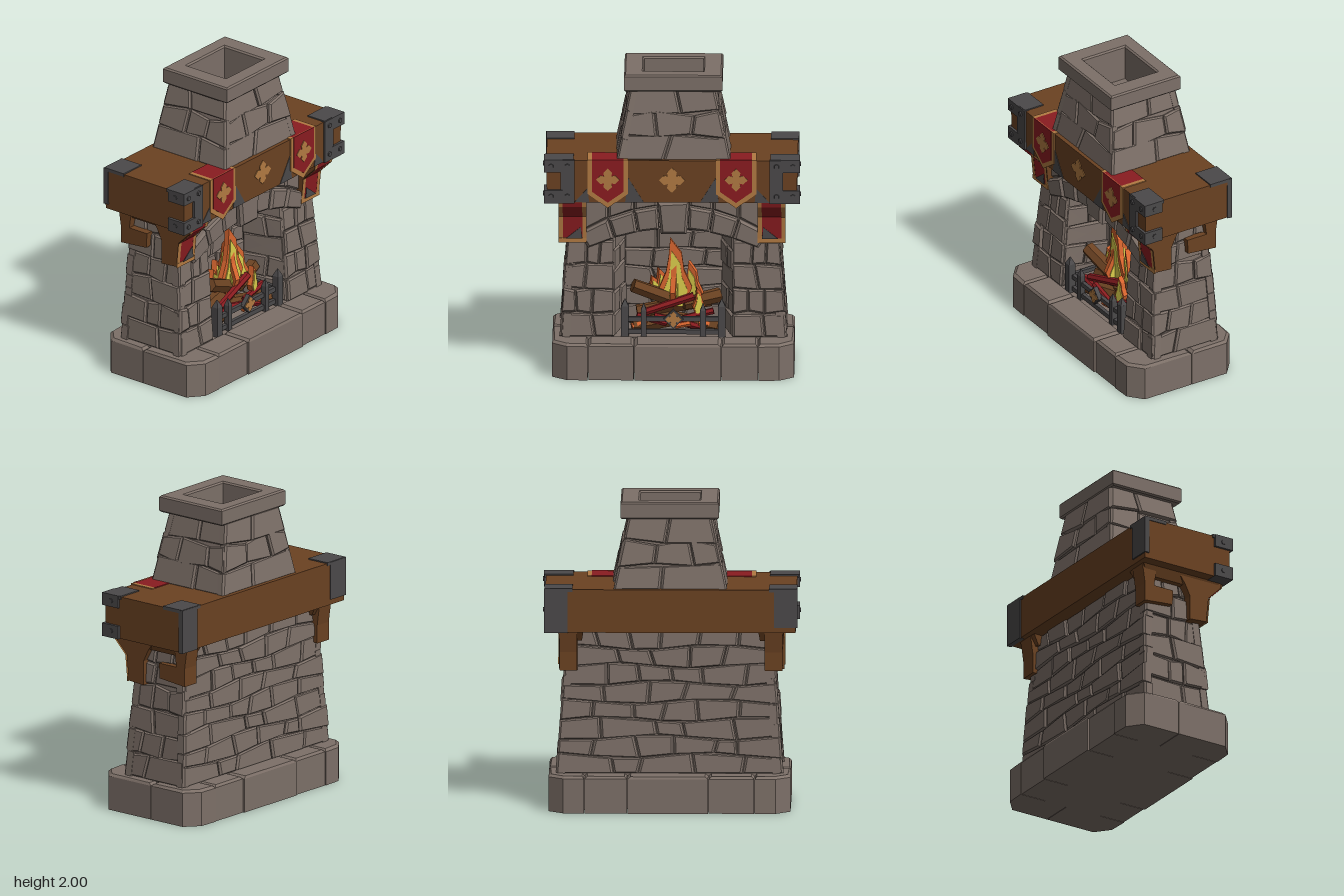
import * as THREE from 'three';
import { mergeGeometries } from 'three/addons/utils/BufferGeometryUtils.js';

const V = (x, y, z) => new THREE.Vector3(x, y, z);
const paint = (name, color, side = THREE.FrontSide) => {
  const m = new THREE.MeshStandardMaterial({ color, side });
  m.name = name;
  return m;
};

export function createModel() {
  const stone = paint('stone', 0x7d7068), wood = paint('wood', 0x6b4222), iron = paint('iron', 0x4b494a);
  const red = paint('red cloth', 0x8a1c20, THREE.DoubleSide), gold = paint('gold trim', 0xb27a42, THREE.DoubleSide);
  const orange = paint('flame orange', 0xd9662f), yellow = paint('flame yellow', 0xdccf4c);
  const root = new THREE.Group();
  root.name = 'fireplace';

  let seed = 7;
  const rnd = () => (seed = (seed * 16807) % 2147483647) / 2147483647;
  const flat = (g) => {
    const f = g.index ? g.toNonIndexed() : g;
    f.computeVertexNormals();
    return f;
  };
  const add = (name, geo, mat, parent = root) => {
    const m = new THREE.Mesh(Array.isArray(geo) ? mergeGeometries(geo.map(flat)) : geo, mat);
    m.name = name;
    parent.add(m);
  };
  const box = (x0, x1, y0, y1, z0, z1) =>
    new THREE.BoxGeometry(x1 - x0, y1 - y0, z1 - z0).translate((x0 + x1) / 2, (y0 + y1) / 2, (z0 + z1) / 2);
  // box spanning mirrored x limits
  const mbox = (s, a, b, ...r) => box(Math.min(s * a, s * b), Math.max(s * a, s * b), ...r);

  // Bevelled block under any convex outline, facing along n
  function block(outline, n, depth, bevel) {
    const c = outline.reduce((a, p) => a.add(p), V(0, 0, 0)).divideScalar(outline.length);
    const turn = V(0, 0, 0);
    outline.forEach((p, i) => turn.add(p.clone().sub(c).cross(outline[(i + 1) % outline.length].clone().sub(c))));
    const pts = turn.dot(n) < 0 ? [...outline].reverse() : outline;
    const at = (p, d) => p.clone().addScaledVector(n, -d);
    const rings = [pts.map((p) => at(p, depth)), pts.map((p) => at(p, bevel)),
      pts.map((p) => p.clone().add(c.clone().sub(p).setLength(bevel * 1.3)))];
    const out = [];
    const tri = (...t) => t.forEach((p) => out.push(p.x, p.y, p.z));
    pts.forEach((_, i) => {
      const j = (i + 1) % pts.length;
      for (let r = 0; r < 2; r++) {
        const [a, b] = [rings[r], rings[r + 1]];
        tri(a[i], a[j], b[j]);
        tri(a[i], b[j], b[i]);
      }
      tri(rings[2][i], rings[2][j], c);
      tri(rings[0][j], rings[0][i], at(c, depth));
    });
    const g = new THREE.BufferGeometry();
    g.setAttribute('position', new THREE.Float32BufferAttribute(out, 3));
    return flat(g);
  }

  // Courses of stones over the quad A B C D (anticlockwise from outside)
  function panel(A, B, C, D, rows, count, depth = 0.06) {
    const n = B.clone().sub(A).cross(D.clone().sub(A)).normalize();
    const phase = rnd() * 6, wide = A.distanceTo(B), tall = A.distanceTo(D), gap = 0.0025;
    const wave = (r, s) => (r <= 0 || r >= rows ? 0 : Math.sin(s * 9 + phase + r * 2) * 0.16 / rows * Math.min(1, wide));
    const at = (s, t) => A.clone().lerp(B, s).lerp(D.clone().lerp(C, s), t);
    const stones = [];
    for (let r = 0; r < rows; r++) {
      const k = count + (r % 2);
      const cuts = [[0, 0]];
      for (let i = 1; i < k; i++) {
        const s = (i + (rnd() - 0.5) * 0.55) / k, lean = (rnd() - 0.5) * 0.16 / k;
        cuts.push([s - lean, s + lean]);
      }
      cuts.push([1, 1]);
      for (let i = 0; i < k; i++) {
        const gs = gap / wide, gt = gap / tall;
        const [l0, l1] = cuts[i].map((s) => s + (i ? gs : 0)), [r0, r1] = cuts[i + 1].map((s) => s - (i < k - 1 ? gs : 0));
        const lo = (s) => r / rows + wave(r, s) + gt, hi = (s) => (r + 1) / rows + wave(r + 1, s) - gt;
        const q = [at(l0, lo(l0)), at(r0, lo(r0)), at(r1, hi(r1)), at(l1, hi(l1))];
        const proud = rnd() * 0.016 - 0.004;
        stones.push(block(q.map((p) => p.addScaledVector(n, proud)), n, depth, 0.011));
      }
    }
    return mergeGeometries(stones);
  }

  // Tapered solid between two rectangles [x0, x1, z0, z1]
  function frustum(y0, a, y1, b) {
    const g = new THREE.BoxGeometry(1, 1, 1), p = g.attributes.position;
    for (let i = 0; i < p.count; i++) {
      const q = p.getY(i) > 0 ? b : a;
      p.setXYZ(i, p.getX(i) > 0 ? q[1] : q[0], p.getY(i) > 0 ? y1 : y0, p.getZ(i) > 0 ? q[3] : q[2]);
    }
    return flat(g);
  }
  const shape = (pts) => new THREE.Shape(pts.map(([x, y]) => new THREE.Vector2(x, y)));
  const extrude = (pts, depth) => new THREE.ExtrudeGeometry(shape(pts), { depth, bevelEnabled: false });

  // Base: edge and corner stones around a hearth slab
  const up = V(0, 1, 0), base = [];
  const slab = (pts) => base.push(block(pts.map(([x, z]) => V(x, 0.24, z)), up, 0.24, 0.016));
  for (const sz of [1, -1]) {
    const cuts = sz > 0 ? [-0.545, -0.25, 0.31, 0.545] : [-0.545, -0.25, 0.27, 0.545];
    for (let i = 0; i < 3; i++) {
      const a = cuts[i] + 0.002, b = cuts[i + 1] - 0.002, z = sz * (i === 1 ? 0.4 : 0.39);
      slab([[a, sz * 0.2], [b, sz * 0.2], [b, z], [a, z]]);
    }
    const split = sz > 0 ? -0.043 : -0.047;
    for (const s of [1, -1])
      slab([[s * 0.547, sz * 0.395], [s * 0.68, sz * 0.39], [s * 0.775, sz * 0.31], [s * 0.775, split], [s * 0.547, split]]);
  }
  add('baseStones', base, stone);
  add('hearthSlab', box(-0.55, 0.55, 0, 0.235, -0.21, 0.21), stone);

  // Body core behind the stones
  const core = [frustum(0.22, [-0.71, 0.71, -0.265, -0.14], 1.17, [-0.645, 0.645, -0.215, -0.115]),
    box(-0.64, 0.64, 0.98, 1.17, -0.2, 0.14)];
  for (const s of [1, -1])
    core.push(frustum(0.22, s > 0 ? [0.395, 0.71, -0.25, 0.215] : [-0.71, -0.395, -0.25, 0.215],
      1.17, s > 0 ? [0.395, 0.645, -0.2, 0.135] : [-0.645, -0.395, -0.2, 0.135]));
  add('bodyCore', core, stone);

  // Outer walls, jambs and firebox lining
  const y0 = 0.24, y1 = 1.17;
  add('backWall', panel(V(0.73, y0, -0.275), V(-0.73, y0, -0.275), V(-0.66, y1, -0.23), V(0.66, y1, -0.23), 8, 5), stone);
  add('leftWall', panel(V(0.72, y0, 0.225), V(0.72, y0, -0.275), V(0.66, y1, -0.23), V(0.66, y1, 0.15), 6, 2), stone);
  add('rightWall', panel(V(-0.72, y0, -0.275), V(-0.72, y0, 0.225), V(-0.66, y1, 0.15), V(-0.66, y1, -0.23), 6, 2), stone);
  add('leftJamb', panel(V(0.38, y0, 0.225), V(0.73, y0, 0.225), V(0.68, 0.87, 0.175), V(0.38, 0.87, 0.175), 4, 2), stone);
  add('rightJamb', panel(V(-0.73, y0, 0.225), V(-0.38, y0, 0.225), V(-0.38, 0.87, 0.175), V(-0.68, 0.87, 0.175), 4, 2), stone);
  add('fireboxBack', panel(V(-0.32, y0, -0.1), V(0.32, y0, -0.1), V(0.32, 0.99, -0.1), V(-0.32, 0.99, -0.1), 6, 3), stone);
  add('fireboxLeft', panel(V(0.31, y0, -0.1), V(0.38, y0, 0.21), V(0.38, 0.95, 0.16), V(0.31, 0.95, -0.1), 5, 1), stone);
  add('fireboxRight', panel(V(-0.38, y0, 0.21), V(-0.31, y0, -0.1), V(-0.31, 0.95, -0.1), V(-0.38, 0.95, 0.16), 5, 1), stone);

  // Arch stones with a keystone, and the stones filling above them
  const front = V(0, 0, 1), arch = [];
  const low = (x) => 0.95 - 0.42 * x * x, high = (x) => 1.1 - 0.5 * x * x;
  const joints = [0.09, 0.23, 0.38, 0.55];
  for (const s of [1, -1]) {
    for (let i = 0; i < 3; i++) {
      const a = joints[i] + 0.003, b = joints[i + 1] - 0.003, A = a * 1.1, B = b * 1.1, z = 0.185 + rnd() * 0.015;
      arch.push(block([V(s * a, low(a), z), V(s * b, low(b), z), V(s * B, high(B), z), V(s * A, high(A), z)], front, 0.28, 0.015));
      arch.push(block([V(s * A, high(A) + 0.006, 0.17), V(s * B, high(B) + 0.006, 0.17), V(s * B, 1.17, 0.17), V(s * A, 1.17, 0.17)], front, 0.1, 0.012));
    }
    arch.push(block([V(s * 0.56, 0.87, 0.17), V(s * 0.67, 0.87, 0.17), V(s * 0.65, 1.17, 0.15), V(s * 0.61, 1.17, 0.15)], front, 0.1, 0.012));
  }
  arch.push(block([V(-0.08, 0.92, 0.215), V(0.085, 0.92, 0.215), V(0.1, 1.14, 0.215), V(-0.1, 1.13, 0.215)], front, 0.28, 0.018));
  add('archStones', arch, stone);

  // Chimney: core, tapered courses, lining and cap
  add('chimneyCore', frustum(1.4, [-0.35, 0.35, -0.285, 0.285], 1.76, [-0.28, 0.28, -0.24, 0.235]), stone);
  const bot = [[-0.36, 0.3], [0.36, 0.3], [0.36, -0.3], [-0.36, -0.3]];
  const top = [[-0.265, 0.23], [0.265, 0.23], [0.265, -0.235], [-0.265, -0.235]];
  for (let i = 0; i < 4; i++) {
    const j = (i + 1) % 4, P = (a, y) => V(a[0], y, a[1]);
    add('chimneyWall', panel(P(bot[i], 1.44), P(bot[j], 1.44), P(top[j], 1.9), P(top[i], 1.9), 3, 2, 0.05), stone);
  }
  const collar = (hx, za, zb, ya, yb, bevel) => {
    const s = shape([[-hx, -zb], [hx, -zb], [hx, -za], [-hx, -za]]);
    s.holes.push(new THREE.Path([[-0.19, -0.165], [-0.19, 0.15], [0.19, 0.15], [0.19, -0.165]].map((p) => new THREE.Vector2(...p))));
    return flat(new THREE.ExtrudeGeometry(s, { depth: yb - ya - 2 * bevel, bevelEnabled: bevel > 0, bevelThickness: bevel, bevelSize: bevel, bevelOffset: -bevel, bevelSegments: 1 })
      .rotateX(-Math.PI / 2).translate(0, ya + bevel, 0));
  };
  add('flueLining', collar(0.24, -0.2, 0.2, 1.7, 1.9, 0), stone);
  add('chimneyCap', collar(0.315, -0.25, 0.275, 1.89, 2, 0.01), stone);

  // Mantel beam
  const mantel = new THREE.Group();
  mantel.name = 'mantel';
  mantel.position.x = -0.008;
  root.add(mantel);
  add('mantelBeam', frustum(1.165, [-0.8, 0.8, -0.325, 0.318], 1.445, [-0.805, 0.805, -0.325, 0.32]), wood, mantel);

  // Iron corner straps with rivets
  for (const s of [1, -1]) {
    const foot = s > 0 ? 1.163 : 1.2;
    const straps = [mbox(s, 0.625, 0.713, 1.163, 1.45, 0.3, 0.333), mbox(s, 0.66, 0.81, foot, 1.45, -0.333, -0.3),
      mbox(s, 0.79, 0.812, foot, 1.45, -0.333, -0.31),
      mbox(s, 0.63, 0.815, 1.43, 1.453, 0.185, 0.325), mbox(s, 0.63, 0.81, 1.43, 1.453, -0.33, -0.17)];
    for (const [a, b] of [[1.163, 1.25], [1.37, 1.453]])
      straps.push(mbox(s, 0.7, 0.82, a, b, 0.2, 0.335));
    for (const y of [1.21, 1.41]) {
      for (const x of [0.67, 0.775])
        straps.push(new THREE.CylinderGeometry(0.016, 0.02, 0.02, 6).rotateX(Math.PI / 2).translate(s * x, y, 0.332));
      straps.push(new THREE.CylinderGeometry(0.016, 0.016, 0.02, 6).rotateZ(Math.PI / 2).translate(s * 0.816, y, 0.26));
    }
    add('ironCorner', straps, iron, mantel);
  }

  // Emblem and banners
  const emblem = (x, y, z, r, parent) => {
    const pts = [];
    for (let k = 0; k < 4; k++)
      for (const [a, b] of [[0.3, 0.3], [0.38, 0.62], [0, 1], [-0.38, 0.62]]) {
        const c = Math.cos(k * Math.PI / 2), d = Math.sin(k * Math.PI / 2);
        pts.push([r * (a * c - b * d), r * (a * d + b * c)]);
      }
    add('emblem', extrude(pts, 0.005).translate(x, y, z), gold, parent);
  };
  emblem(0, 1.315, 0.319, 0.083, mantel);
  for (const s of [1, -1]) {
    const g = new THREE.Group();
    g.name = 'banner';
    g.position.x = s * 0.411;
    mantel.add(g);
    add('bannerTrim', extrude([[-0.13, 1.452], [-0.13, 1.225], [0, 1.13], [0.13, 1.225], [0.13, 1.452]], 0.008).translate(0, 0, 0.319), gold, g);
    add('bannerCloth', extrude([[-0.102, 1.453], [-0.102, 1.24], [0, 1.167], [0.102, 1.24], [0.102, 1.453]], 0.007).translate(0, 0, 0.323), red, g);
    emblem(0, 1.32, 0.329, 0.075, g);
    add('bannerTopCloth', box(-0.102, 0.102, 1.443, 1.451, 0.15, 0.33), red, g);
    for (const x of [-0.13, 0.102]) add('bannerTopTrim', box(x, x + 0.028, 1.443, 1.451, 0.15, 0.326), gold, g);
    // dark wedges beside the banner
    for (const w of [[[0.18, 1.167], [0.3, 1.167], [0.28, 1.33]], [[0.53, 1.167], [0.625, 1.167], [0.54, 1.26]]])
      add('darkWedge', extrude(w.map(([x, y]) => [s * x, y]), 0.004).translate(0, 0, 0.318), iron, mantel);
  }

  // Front and rear brackets under the mantel; profiles run in z and y
  const profile = (pts, x0, x1) => extrude(pts.map(([z, y]) => [-z, y]), x1 - x0).rotateY(Math.PI / 2).translate(x0, 0, 0);
  const face = [[0.31, 1.17], [0.3, 1.13], [0.21, 1.04], [0.193, 0.87]];
  const ribbon = (x0, x1, off) => {
    const g = new THREE.PlaneGeometry(1, 1, 1, face.length - 1), p = g.attributes.position;
    for (let i = 0; i < p.count; i++) {
      const [z, y] = face[i >> 1];
      p.setXYZ(i, i % 2 ? x1 : x0, y, z + off);
    }
    return flat(g);
  };
  for (const s of [1, -1]) {
    const span = (a, b) => (s > 0 ? [a, b] : [-b, -a]);
    add('frontBracket', profile([...face, [0.07, 0.86], [0.07, 1.02], [0.03, 1.1], [-0.02, 1.17]], ...span(0.555, 0.722)), wood, mantel);
    add('rearBracket', profile([[-0.055, 1.03], [-0.06, 0.93], [-0.27, 0.91], [-0.27, 1.03], [-0.29, 1.17], [-0.18, 1.17], [-0.2, 1.03]], ...span(0.6, 0.715)), wood, mantel);
    add('bracketBeam', frustum(1.1, [...span(0.57, 0.7), -0.25, 0.24], 1.17, [...span(0.56, 0.73), -0.29, 0.3]), wood, mantel);
    add('bracketCloth', ribbon(...span(0.575, 0.7), 0.006), red, mantel);
    add('bracketTrim', ribbon(...span(0.7, 0.728), 0.007), gold, mantel);
    add('bracketTrim', ribbon(...span(0.547, 0.575), 0.007), gold, mantel);
    add('bracketHem', mbox(s, 0.547, 0.728, 0.865, 0.895, 0.196, 0.204), gold, mantel);
    add('bracketWedge', extrude([[s * 0.575, 0.895], [s * 0.68, 0.895], [s * 0.585, 0.97]], 0.004).translate(0, 0, 0.211), iron, mantel);
  }

  // Grate with posts, rails and a diamond plate
  const grate = [];
  for (const y of [0.265, 0.35]) grate.push(box(-0.33, 0.33, y - 0.015, y + 0.015, 0.165, 0.19));
  for (const s of [1, -1]) {
    for (const y of [0.265, 0.35]) grate.push(box(s * 0.31 - 0.012, s * 0.31 + 0.012, y - 0.013, y + 0.013, 0, 0.18));
    for (const [x, h, w] of [[0.31, 0.44, 0.024], [0.19, 0.41, 0.018]]) {
      grate.push(box(s * x - w, s * x + w, 0.235, h, 0.165, 0.165 + 2 * w));
      grate.push(new THREE.ConeGeometry(w * 1.4, 0.05, 4, 1).rotateY(Math.PI / 4).translate(s * x, h + 0.025, 0.165 + w));
    }
  }
  grate.push(new THREE.BoxGeometry(0.09, 0.09, 0.03).rotateZ(Math.PI / 4).translate(0, 0.355, 0.195));
  add('grate', grate, iron);
  emblem(0, 0.355, 0.21, 0.052, root);

  // Logs and embers: x, y, z, length, radius, tilt, turn
  const log = (x, y, z, l, r, tilt, turn) => new THREE.CylinderGeometry(r, r * 1.1, l, 6)
    .rotateZ(Math.PI / 2 + tilt).rotateY(turn).translate(x, y, z);
  add('logs', [log(-0.12, 0.3, 0.08, 0.3, 0.045, 0.1, 0.3), log(0.14, 0.3, 0.08, 0.32, 0.045, -0.1, -0.3),
    log(-0.13, 0.49, 0.06, 0.29, 0.046, -0.4, 0.2), log(0.18, 0.44, 0.03, 0.25, 0.045, 0.15, 0.3), log(0, 0.39, 0, 0.48, 0.045, 0.15, 0.1)], wood);
  add('embers', [log(-0.03, 0.425, 0.1, 0.34, 0.024, 0.3, 0.1), log(0.05, 0.31, 0.12, 0.36, 0.022, -0.25, 0),
    log(-0.14, 0.33, 0.12, 0.2, 0.02, -0.3, 0.1), log(0.16, 0.36, 0.11, 0.2, 0.02, 0.25, 0)], red);
  add('glowingCoals', [log(-0.22, 0.3, 0.13, 0.1, 0.022, 0.3, 0.3), log(0.22, 0.3, 0.13, 0.12, 0.022, -0.2, 0), log(0.06, 0.3, 0.14, 0.1, 0.018, 0.2, 0)], orange);

  // Flames: orange tongues with a yellow heart
  const tongue = [[-0.3, 0], [-0.5, 0.25], [-0.28, 0.5], [-0.2, 0.72], [-0.15, 1], [0.2, 0.78], [0.28, 0.52], [0.52, 0.28], [0.3, 0]];
  const flame = (x, y, z, w, h, turn) => {
    const part = (k, l, d) => extrude(tongue.map(([a, b]) => [a * w * k, b * h * l]), d).translate(0, 0, -d / 2).rotateY(turn).translate(x, y, z);
    add('flame', part(1, 1, 0.035), orange);
    add('flameHeart', part(0.74, 0.82, 0.05), yellow);
  };
  flame(0.01, 0.4, 0.04, 0.21, 0.45, 0);
  flame(0.01, 0.4, 0.02, 0.2, 0.4, 1.4);
  flame(-0.125, 0.44, 0.0, 0.12, 0.15, 0.3);
  flame(0.12, 0.4, 0.02, 0.14, 0.29, -0.3);
  flame(0.16, 0.37, 0.1, 0.08, 0.17, 0.2);
  flame(-0.08, 0.42, -0.01, 0.13, 0.22, 0.4);

  return root;
}
